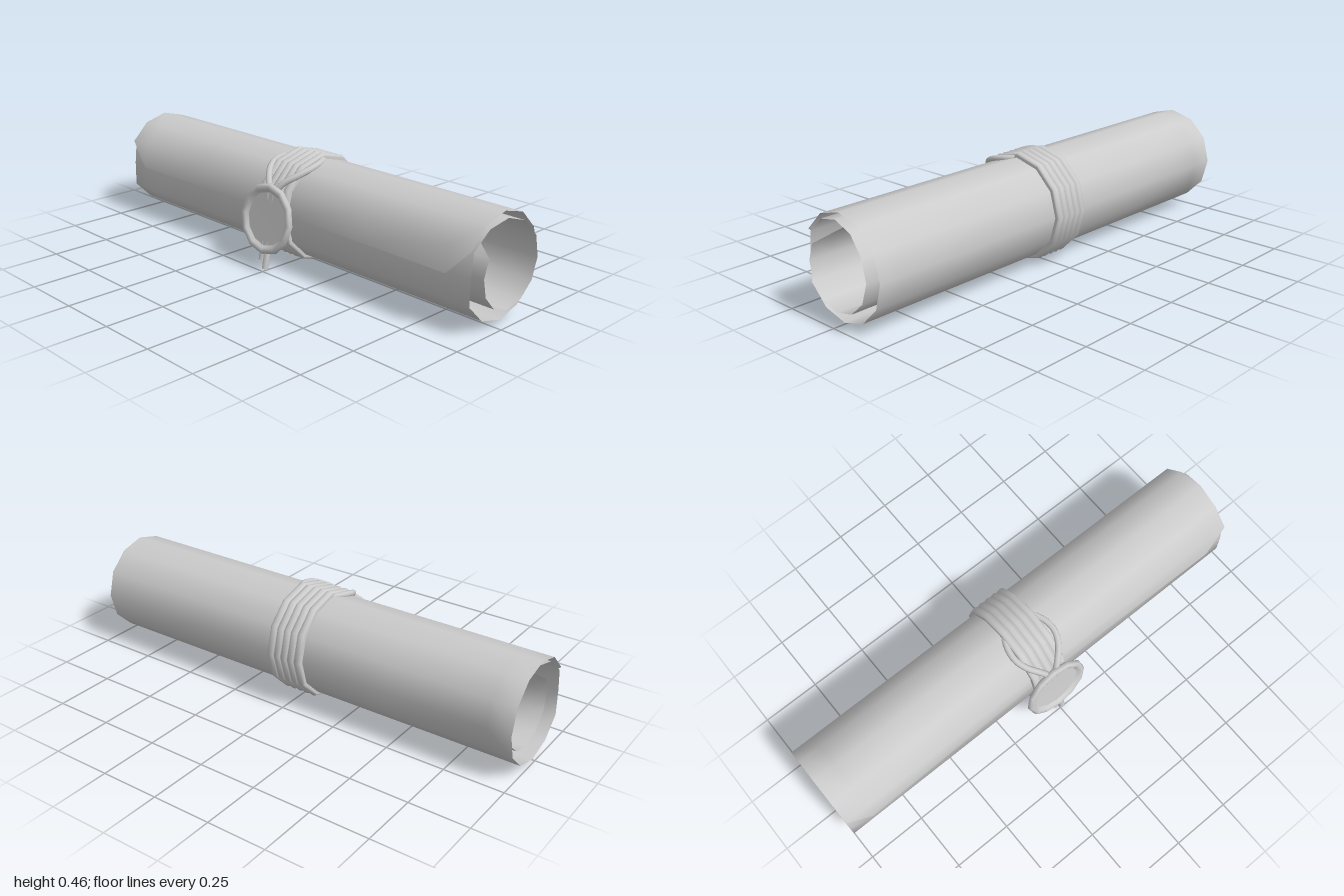
import * as THREE from 'three';

const CY = 0.229, CZ = -0.026; // axis of the roll
const STEP = Math.PI / 6;      // twelve sides per turn

export function createModel() {
  const model = new THREE.Group();
  const grey = new THREE.MeshStandardMaterial({ color: 0xcccccc });
  const thin = new THREE.MeshStandardMaterial({ color: 0xcccccc, side: THREE.DoubleSide });

  const add = (name, geometry, material = grey) => {
    const mesh = new THREE.Mesh(geometry, material);
    mesh.name = name;
    model.add(mesh);
    return mesh;
  };

  add('rolledSheet', sheetGeometry(), thin);

  // Wrapped cord band: five ridges turned around the roll
  const profile = [new THREE.Vector2(0.206, -0.082)];
  for (let i = 0; i < 5; i++) {
    for (let j = i ? 1 : 0; j <= 6; j++) {
      const a = (j / 6) * Math.PI;
      profile.push(new THREE.Vector2(0.219 + 0.010 * Math.sin(a), -0.066 + i * 0.033 - 0.0165 * Math.cos(a)));
    }
  }
  profile.push(new THREE.Vector2(0.206, 0.082));
  const band = add('cordBand', new THREE.LatheGeometry(profile, 12).rotateZ(Math.PI / 2), thin);
  band.position.set(-0.008, CY, CZ);

  // Two loose cords that leave the band, meet behind the seal and hang below it
  for (const side of [-1, 1]) {
    const path = [
      [0.078, 0.432, -0.02], [0.097, 0.427, 0.03], [0.1, 0.416, 0.08], [0.08, 0.395, 0.127],
      [0.04, 0.362, 0.17], [0.017, 0.32, 0.188], [0.014, 0.21, 0.202], [0.013, 0.09, 0.229],
    ].map(([x, y, z]) => new THREE.Vector3(side * x - 0.004, y, z));
    path.push(side > 0 ? new THREE.Vector3(0.01, 0.014, 0.245) : new THREE.Vector3(-0.02, 0.045, 0.236));
    const curve = new THREE.CatmullRomCurve3(path);
    add(side > 0 ? 'leftCord' : 'rightCord', new THREE.TubeGeometry(curve, 32, 0.0135, 8, false));

    // Cut end of the tail
    const cap = add(side > 0 ? 'leftCordEnd' : 'rightCordEnd', new THREE.CircleGeometry(0.0135, 8), thin);
    cap.position.copy(curve.getPoint(1));
    cap.quaternion.setFromUnitVectors(new THREE.Vector3(0, 0, 1), curve.getTangent(1));
  }

  // Wax seal: twelve-sided disc with a rounded rim and a sunken face
  const sealProfile = [
    [0, -0.014], [0.10, -0.016], [0.134, -0.012], [0.147, 0], [0.143, 0.013],
    [0.132, 0.018], [0.121, 0.014], [0.112, 0.004], [0.108, 0.003], [0, 0.003],
  ].map(([r, h]) => new THREE.Vector2(r, h));
  const seal = add('waxSeal', new THREE.LatheGeometry(sealProfile, 12).rotateX(Math.PI / 2));
  seal.position.set(-0.006, 0.217, 0.215);
  seal.rotation.x = -0.17;

  return model;
}

// A two-turn spiral sheet with clipped corners and slightly lifted flap corners
function sheetGeometry() {
  const columns = [-1, -0.9, -0.47, 0, 0.47, 0.9, 1];
  const last = 26;
  const radius = (k, u) => {
    if (k === 0) return 0.182 + 0.015 * Math.min(1, Math.abs(u) / 0.9);
    if (k < 12) return 0.208;
    if (k === 12) return 0.179;
    return THREE.MathUtils.lerp(0.194, 0.136, (k - 13) / (last - 13));
  };
  const positions = [], index = [];
  for (let k = 0; k <= last; k++) {
    const shift = 0.03 * THREE.MathUtils.clamp((k - 13) / 4, 0, 1);
    columns.forEach((u) => {
      // At both ends the first and last rows fold onto their neighbours, clipping the corners
      const kk = Math.abs(u) === 1 ? THREE.MathUtils.clamp(k, 1, last - 1) : k;
      const r = radius(kk, u), a = kk * STEP;
      positions.push(u * 0.985 - 0.015 + shift, CY + r * Math.sin(a), CZ + r * Math.cos(a));
    });
  }
  const n = columns.length;
  for (let k = 0; k < last; k++) {
    for (let i = 0; i < n - 1; i++) {
      const a = k * n + i, b = a + 1, c = a + n, d = c + 1;
      // Diagonals run along the clipped corners
      if ((i === 0) === (k < last - 1)) index.push(a, b, c, b, d, c);
      else index.push(a, b, d, a, d, c);
    }
  }
  const geometry = new THREE.BufferGeometry();
  geometry.setAttribute('position', new THREE.Float32BufferAttribute(positions, 3));
  geometry.setIndex(index);
  geometry.computeVertexNormals();
  return geometry;
}
